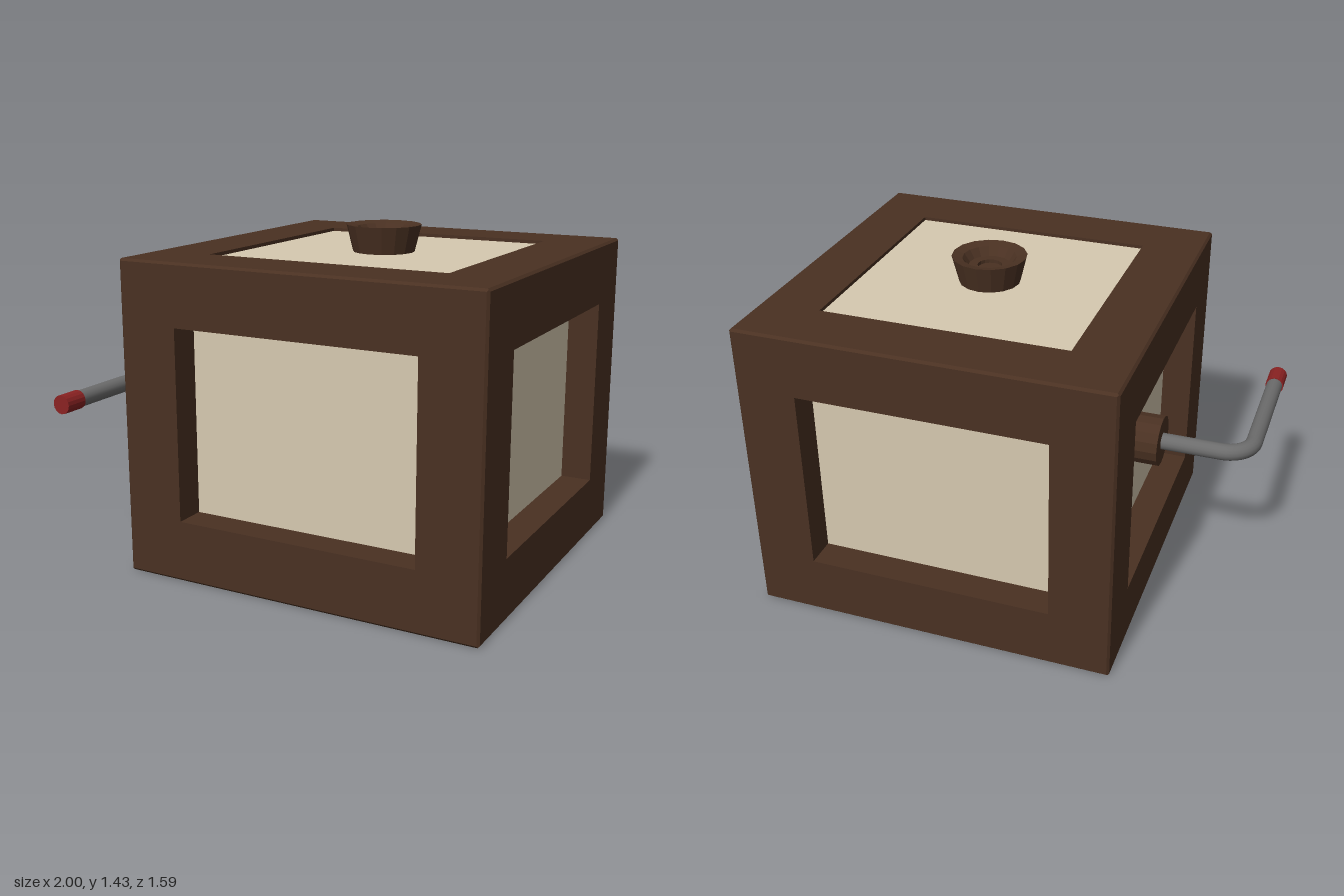
import * as THREE from 'three';

const W = 0.7925, H = 0.6675;          // half width/depth and half height of the box
const BORDER = 0.262, CHAMFER = 0.01;
const CX = 0.2075, CY = H;             // box centre

const mat = (color, extra = {}) => {
  const m = new THREE.MeshStandardMaterial({ color });
  return Object.assign(m, extra);
};

function addMesh(parent, name, geometry, material, x = 0, y = 0, z = 0) {
  const mesh = new THREE.Mesh(geometry, material);
  mesh.name = name;
  mesh.position.set(x, y, z);
  parent.add(mesh);
  return mesh;
}

// Rectangular face frame facing +z: chamfered rim, flat border, recess walls
function frameGeometry(hu, hv, hd, recess) {
  const c = CHAMFER;
  const loops = [
    [hu - c / 2, hv - c / 2, hd - c / 2],
    [hu - c, hv - c, hd],
    [hu - BORDER, hv - BORDER, hd],
    [hu - BORDER, hv - BORDER, hd - recess - 0.01],
  ].map(([u, v, d]) => [[-u, -v, d], [u, -v, d], [u, v, d], [-u, v, d]]);
  const pos = [];
  for (let i = 0; i < loops.length - 1; i++) {
    for (let k = 0; k < 4; k++) {
      const n = (k + 1) % 4;
      const [a, b, e, f] = [loops[i][k], loops[i][n], loops[i + 1][n], loops[i + 1][k]];
      pos.push(...a, ...b, ...e, ...a, ...e, ...f);
    }
  }
  const g = new THREE.BufferGeometry();
  g.setAttribute('position', new THREE.Float32BufferAttribute(pos, 3));
  g.computeVertexNormals();
  return g;
}

export function createModel() {
  const model = new THREE.Group();
  model.name = 'crankBox';
  const wood = mat(0x4a3122, { flatShading: true });
  const cream = mat(0xd6c9b0);
  const metal = mat(0x6c6c6c);
  const red = mat(0x8a2222, { flatShading: true });

  // Wooden frame, one bordered face per side
  const SIDE = 0.134, LID = 0.015;
  const frame = new THREE.Group();
  frame.name = 'frame';
  frame.position.set(CX, CY, 0);
  model.add(frame);
  ['frontFrame', 'leftFrame', 'backFrame', 'rightFrame'].forEach((name, i) => {
    addMesh(frame, name, frameGeometry(W, H, W, SIDE), wood).rotation.y = i * Math.PI / 2;
  });
  addMesh(frame, 'topFrame', frameGeometry(W, W, H, LID), wood).rotation.x = -Math.PI / 2;
  addMesh(frame, 'bottomFrame', frameGeometry(W, W, H, LID), wood).rotation.x = Math.PI / 2;

  // Inner box whose faces are the recessed panels
  const inner = 2 * (W - SIDE);
  addMesh(model, 'panels', new THREE.BoxGeometry(inner, 2 * (H - LID), inner), cream, CX, CY, 0);

  // Dished knob on the lid
  const knobProfile = [
    [0.13, -0.02], [0.16, 0.1], [0.115, 0.09], [0.09, 0.055],
    [0.052, 0.055], [0.052, 0.04], [0, 0.04],
  ].map(([r, y]) => new THREE.Vector2(r, y));
  addMesh(model, 'knob', new THREE.LatheGeometry(knobProfile, 16), wood, CX, 2 * H, 0);

  // Crank: hub, bent rod and grip
  const crank = new THREE.Group();
  crank.name = 'crank';
  crank.position.y = 0.67;
  model.add(crank);
  addMesh(crank, 'crankHub', new THREE.CylinderGeometry(0.112, 0.112, 0.13, 16), wood, -0.515, 0, 0)
    .rotation.z = Math.PI / 2;

  const R = 0.12, armX = -0.96, rodR = 0.037;
  const v = (x, z) => new THREE.Vector3(x, 0, z);
  const k = R * 0.448;
  const bend = new THREE.CubicBezierCurve3(v(armX + R, 0), v(armX + k, 0), v(armX, k), v(armX, R));
  const straight = (name, a, b) => {
    const line = new THREE.LineCurve3(a, b);
    addMesh(crank, name, new THREE.TubeGeometry(line, 1, rodR, 16), metal);
  };
  straight('crankShaft', v(-0.5, 0), v(armX + R, 0));
  addMesh(crank, 'crankBend', new THREE.TubeGeometry(bend, 10, rodR, 16), metal);
  straight('crankArm', v(armX, R), v(armX, 0.7));
  addMesh(crank, 'crankGrip', new THREE.CylinderGeometry(0.042, 0.042, 0.11, 16), red, armX, 0, 0.7)
    .rotation.x = Math.PI / 2;

  return model;
}
